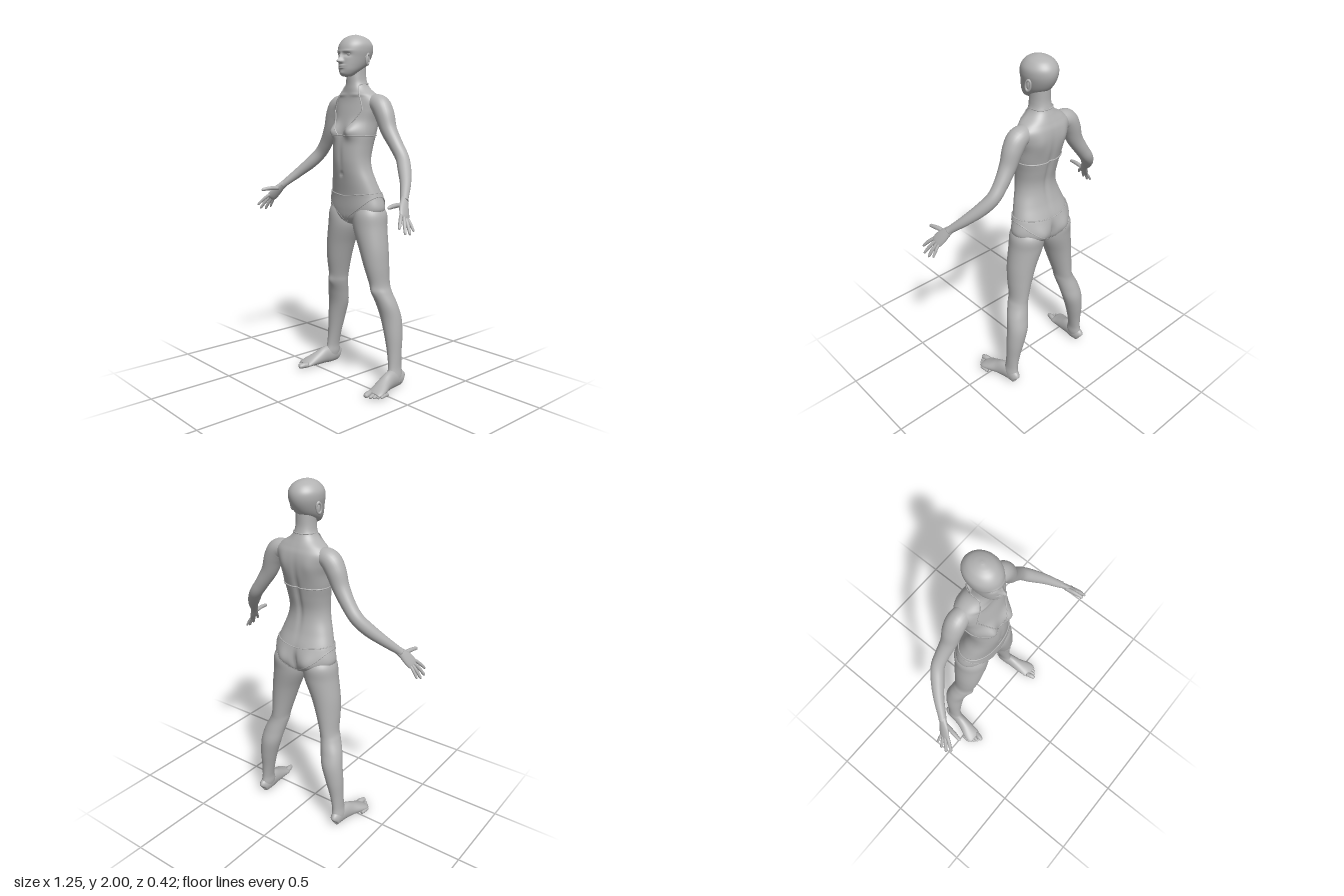
import * as THREE from 'three';

const V = (x, y, z) => new THREE.Vector3(x, y, z);
const grey = new THREE.MeshStandardMaterial({ color: 0xb3b3b3, side: THREE.DoubleSide });
grey.name = 'plain grey';

// Catmull-Rom interpolation of a table of section rows, t from 0 to 1
function rowAt(rows, t) {
  const f = t * (rows.length - 1), i = Math.min(Math.floor(f), rows.length - 2), k = f - i;
  const at = j => rows[Math.max(0, Math.min(rows.length - 1, j))];
  const [a, b, c, d] = [at(i - 1), at(i), at(i + 1), at(i + 2)];
  return b.map((_, n) => b[n] + 0.5 * k * (c[n] - a[n] + k * (2 * a[n] - 5 * b[n] + 4 * c[n] - d[n]
    + k * (3 * (b[n] - c[n]) + d[n] - a[n]))));
}

// Closed skin over rings point(t, angle), with a pole at each end
function loft(point, segs, steps) {
  const pos = [], idx = [];
  for (let j = 0; j <= steps; j++) for (let i = 0; i < segs; i++)
    pos.push(...point(j / steps, i / segs * Math.PI * 2).toArray());
  for (let j = 0; j < steps; j++) for (let i = 0; i < segs; i++) {
    const n = (i + 1) % segs, a = j * segs + i, b = j * segs + n, c = b + segs, d = a + segs;
    idx.push(a, b, c, a, c, d);
  }
  for (const j of [0, steps]) {
    const pole = pos.length / 3, mid = V(0, 0, 0);
    for (let i = 0; i < segs; i++) mid.add(V().fromArray(pos, (j * segs + i) * 3));
    pos.push(...mid.divideScalar(segs).toArray());
    for (let i = 0; i < segs; i++) {
      const a = j * segs + i, b = j * segs + (i + 1) % segs;
      idx.push(...(j ? [a, b, pole] : [b, a, pole]));
    }
  }
  return finish(pos, idx);
}

function finish(pos, idx) {
  const g = new THREE.BufferGeometry();
  g.setAttribute('position', new THREE.Float32BufferAttribute(pos, 3));
  g.setIndex(idx);
  g.computeVertexNormals();
  return g;
}

// Open patch of point(u, v)
function patch(point, nu, nv) {
  const pos = [], idx = [];
  for (let j = 0; j <= nv; j++) for (let i = 0; i <= nu; i++) pos.push(...point(i / nu, j / nv).toArray());
  for (let j = 0; j < nv; j++) for (let i = 0; i < nu; i++) {
    const a = j * (nu + 1) + i, d = a + nu + 1;
    idx.push(a, a + 1, d + 1, a, d + 1, d);
  }
  return finish(pos, idx);
}

// Upright body: rows [y, centre x, half width, front z, back z];
// bumps [x, y, spread x, spread y, height, side], mirrored in x
const upright = (rows, bumps, power = 2) => (t, a, off = 0) => {
  const [y, cx, rx, zf, zb] = rowAt(rows, t), s = Math.sin(a), c = Math.cos(a);
  const sup = n => Math.sign(n) * Math.abs(n) ** (2 / power);
  const p = V(cx + sup(s) * (rx + off), y, (zf + zb) / 2 + sup(c) * ((zf - zb) / 2 + off));
  for (const [bx, by, sx, sy, h, side] of bumps)
    p.z += side * h * Math.sqrt(Math.max(0, side * c))
      * Math.exp(-(((Math.abs(p.x) - bx) / sx) ** 2) - ((y - by) / sy) ** 2);
  return p;
};

// Limb along a path: rows [x, y, z, half width along side, half thickness]
function limb(rows, side, segs = 20, steps = 30) {
  return loft((t, a) => {
    const [x, y, z, w, h = w] = rowAt(rows, t);
    const p = rowAt(rows, Math.max(0, t - 0.02)), q = rowAt(rows, Math.min(1, t + 0.02));
    const dir = V(q[0] - p[0], q[1] - p[1], q[2] - p[2]).normalize();
    const u = side.clone().addScaledVector(dir, -side.dot(dir)).normalize();
    const v = dir.clone().cross(u);
    return V(x, y, z).addScaledVector(u, w * Math.cos(a)).addScaledVector(v, h * Math.sin(a));
  }, segs, steps);
}

// Finger or toe with a rounded tip
function digit(a, b, r, sag) {
  const at = (k, s) => [a.x + (b.x - a.x) * k, a.y + (b.y - a.y) * k + sag * 4 * k * (1 - k), a.z + (b.z - a.z) * k, r * s];
  return limb([at(0, 1), at(0.3, 1), at(0.5, 1.02), at(0.75, 0.9), at(0.92, 0.75), at(1, 0.2)], V(1, 0, 0.2), 10, 14);
}

const torsoRows = [
  [0.925, 0, 0.03, -0.06, -0.12], [0.94, 0, 0.06, -0.02, -0.15], [0.97, 0, 0.13, 0.005, -0.182],
  [1.02, 0, 0.193, 0.012, -0.192], [1.1, 0, 0.178, 0.016, -0.185], [1.18, 0, 0.152, 0.028, -0.157],
  [1.25, 0, 0.128, 0.04, -0.14], [1.31, 0, 0.12, 0.046, -0.138], [1.38, 0, 0.125, 0.044, -0.152],
  [1.45, 0, 0.136, 0.033, -0.168], [1.52, 0, 0.142, 0.015, -0.183], [1.58, 0, 0.158, 0, -0.188],
  [1.63, 0, 0.165, -0.013, -0.183], [1.665, 0, 0.135, -0.018, -0.17], [1.7, 0, 0.083, -0.02, -0.155],
  [1.73, 0, 0.06, -0.022, -0.143], [1.77, 0, 0.052, -0.022, -0.135], [1.83, 0, 0.05, -0.025, -0.135]];
const torsoBumps = [
  [0.072, 1.465, 0.038, 0.042, 0.034, 1], [0, 1.225, 0.009, 0.011, -0.011, 1], [0.075, 1.668, 0.05, 0.01, 0.006, 1],
  [0, 1.32, 0.014, 0.07, -0.004, 1], [0.085, 1.02, 0.055, 0.06, 0.024, -1], [0, 1.0, 0.014, 0.06, -0.02, -1],
  [0, 1.38, 0.016, 0.18, -0.01, -1], [0.085, 1.57, 0.035, 0.06, 0.008, -1]];
const POWER = 2.2;
const torso = upright(torsoRows, torsoBumps, POWER);

// Torso position for a height, by bisection
function heightT(y) {
  let lo = 0, hi = 1;
  for (let i = 0; i < 30; i++) { const m = (lo + hi) / 2; if (rowAt(torsoRows, m)[0] < y) lo = m; else hi = m; }
  return lo;
}
function onTorso(x, y, off = 0.004) {
  const t = heightT(y), k = Math.min(1, Math.abs(x) / rowAt(torsoRows, t)[2]);
  return torso(t, Math.sign(x) * Math.asin(k ** (POWER / 2)), off);
}
const strap = (pts, closed = false, r = 0.004) =>
  new THREE.TubeGeometry(new THREE.CatmullRomCurve3(pts, closed), 90, r, 6, closed);

export function createModel() {
  const model = new THREE.Group();
  const add = (name, geo) => {
    const m = new THREE.Mesh(geo, grey);
    m.name = name;
    model.add(m);
  };
  const pair = (name, geo) => {
    add(name + 'Left', geo);
    const g = geo.clone().scale(-1, 1, 1), ix = g.index;
    for (let i = 0; i < ix.count; i += 3) {
      const b = ix.getX(i + 1);
      ix.setX(i + 1, ix.getX(i + 2));
      ix.setX(i + 2, b);
    }
    g.computeVertexNormals();
    add(name + 'Right', g);
  };

  add('torso', loft((t, a) => torso(t, a), 96, 130));

  // Head with sculpted face
  add('head', loft(upright([
    [1.768, 0, 0.02, 0.012, -0.03], [1.776, 0, 0.036, 0.027, -0.05], [1.8, 0, 0.055, 0.036, -0.095],
    [1.83, 0, 0.069, 0.037, -0.138], [1.87, 0, 0.081, 0.035, -0.166], [1.91, 0, 0.089, 0.036, -0.179],
    [1.945, 0, 0.086, 0.026, -0.175], [1.975, 0, 0.065, 0.002, -0.152], [1.992, 0, 0.036, -0.03, -0.118],
    [2, 0, 0.006, -0.066, -0.08]], [
    [0, 1.852, 0.012, 0.012, 0.028, 1], [0, 1.873, 0.009, 0.02, 0.014, 1], [0.034, 1.886, 0.02, 0.012, -0.011, 1],
    [0.03, 1.905, 0.025, 0.007, 0.004, 1], [0, 1.826, 0.02, 0.005, 0.01, 1], [0, 1.815, 0.017, 0.005, 0.009, 1],
    [0, 1.785, 0.02, 0.012, 0.006, 1], [0.011, 1.848, 0.007, 0.007, 0.009, 1]]), 112, 110));
  const eye = new THREE.SphereGeometry(0.012, 16, 12).scale(1.2, 0.7, 1).translate(0.034, 1.886, 0.009);
  pair('eye', eye);
  const ear = new THREE.TorusGeometry(0.02, 0.006, 8, 24).scale(0.75, 1.4, 1).rotateY(Math.PI / 2 + 0.3)
    .rotateX(-0.15).translate(0.087, 1.862, -0.085);
  pair('earRim', ear);
  pair('ear', new THREE.SphereGeometry(1, 14, 10).scale(0.007, 0.026, 0.015).translate(0.083, 1.862, -0.083));

  // Arms and hands
  pair('arm', limb([[0.09, 1.62, -0.1, 0.045], [0.165, 1.612, -0.1, 0.056], [0.205, 1.56, -0.1, 0.055],
    [0.24, 1.475, -0.1, 0.046], [0.295, 1.39, -0.105, 0.039], [0.345, 1.325, -0.1, 0.037],
    [0.395, 1.265, -0.065, 0.036], [0.455, 1.2, -0.01, 0.029], [0.505, 1.14, 0.05, 0.022],
    [0.52, 1.122, 0.066, 0.021]], V(0, 0.3, 1), 28, 60));
  pair('palm', limb([[0.503, 1.142, 0.048, 0.02, 0.017], [0.522, 1.118, 0.07, 0.026, 0.017],
    [0.545, 1.085, 0.094, 0.035, 0.016], [0.566, 1.053, 0.113, 0.035, 0.013], [0.574, 1.041, 0.12, 0.026, 0.007]],
  V(0, 0.45, 0.9), 24, 20));
  [[[0.562, 1.066, 0.132], [0.607, 1.0, 0.193]], [[0.57, 1.053, 0.122], [0.622, 0.973, 0.165]],
    [[0.571, 1.045, 0.108], [0.62, 0.967, 0.128]], [[0.568, 1.044, 0.094], [0.613, 0.978, 0.094]]]
    .forEach(([a, b], i) => pair('finger' + (i + 1), digit(V(...a), V(...b), i === 3 ? 0.008 : 0.0095, 0.005)));
  pair('thumb', digit(V(0.525, 1.105, 0.095), V(0.542, 1.1, 0.208), 0.012, 0.005));

  // Legs, with kneecap and calf swelling
  const leg = [[0.03, 0.278, 0.03, -0.085, -0.18], [0.07, 0.275, 0.034, -0.078, -0.186], [0.12, 0.271, 0.031, -0.09, -0.18],
    [0.2, 0.262, 0.038, -0.094, -0.185], [0.3, 0.248, 0.051, -0.09, -0.199], [0.4, 0.228, 0.062, -0.083, -0.204],
    [0.48, 0.211, 0.063, -0.064, -0.187], [0.55, 0.189, 0.057, -0.042, -0.169], [0.6, 0.177, 0.053, -0.034, -0.166],
    [0.7, 0.161, 0.067, -0.012, -0.169], [0.8, 0.141, 0.082, 0.001, -0.175], [0.92, 0.108, 0.099, 0.01, -0.187],
    [1.0, 0.105, 0.093, 0.006, -0.19], [1.06, 0.1, 0.065, -0.02, -0.15]];
  pair('leg', loft(upright(leg, [[0.185, 0.56, 0.025, 0.03, 0.008, 1]]), 40, 90));

  // Feet and toes
  const foot = limb([[0.278, 0.04, -0.19, 0.012, 0.018], [0.278, 0.046, -0.178, 0.027, 0.042],
    [0.277, 0.052, -0.13, 0.033, 0.052], [0.283, 0.053, -0.08, 0.035, 0.053], [0.291, 0.042, -0.03, 0.04, 0.042],
    [0.304, 0.03, 0.02, 0.048, 0.029], [0.31, 0.022, 0.055, 0.05, 0.02], [0.311, 0.018, 0.075, 0.042, 0.012]],
  V(1, 0, 0), 28, 40);
  const fp = foot.attributes.position;
  for (let i = 0; i < fp.count; i++) fp.setY(i, Math.max(fp.getY(i), 0));
  foot.computeVertexNormals();
  pair('foot', foot);
  [[0.282, 0.296, 0.125, 0.0165], [0.308, 0.317, 0.11, 0.011], [0.325, 0.333, 0.097, 0.0105],
    [0.339, 0.347, 0.081, 0.01], [0.351, 0.358, 0.064, 0.01]].forEach(([x0, x1, z, r], i) =>
    pair('toe' + (i + 1), digit(V(x0, r + 0.003, z - 0.06), V(x1, r + 0.001, z), r, 0.003)));

  // Bikini top: cups, rib band, neck straps
  pair('cup', patch((u, v) => onTorso(
    (0.02 + 0.112 * u) * (1 - v) + (0.108 + 0.006 * u) * v, 1.442 + 0.14 * v), 20, 24));
  pair('cupInnerEdge', strap([0, 0.25, 0.5, 0.75, 1].map(v => onTorso(0.02 + 0.088 * v, 1.442 + 0.14 * v)), false, 0.003));
  const ringAt = (y, off, n = 40) => Array.from({ length: n }, (_, i) => torso(heightT(y), i / n * Math.PI * 2, off));
  add('ribBand', strap(ringAt(1.442, 0.002), true));
  pair('neckStrap', strap([[0.111, 1.58], [0.1, 1.62], [0.083, 1.66], [0.066, 1.695], [0.057, 1.72]]
    .map(([x, y]) => onTorso(x, y, 0.002)).concat(
      [2, 2.4, 2.8, Math.PI].map(a => torso(heightT(1.73), a, 0.002))), false, 0.0035));

  // Bikini bottom: wrapped cloth with edge cords
  const edge = (a, v, off) => {
    const s = Math.abs(Math.sin(a)), top = 1.1 + 0.02 * s;
    const low = 0.942 + 0.158 * s ** (Math.cos(a) > 0 ? 0.8 : 1);
    return torso(heightT(low + (top - low) * v), a, off);
  };
  add('bikiniBottom', patch((u, v) => edge(u * Math.PI * 2, v, 0.005), 120, 24));
  for (const v of [0, 1]) add(v ? 'waistCord' : 'legCord',
    strap(Array.from({ length: 60 }, (_, i) => edge(i / 60 * Math.PI * 2, v, 0.003)), true, 0.0035));

  return model;
}
